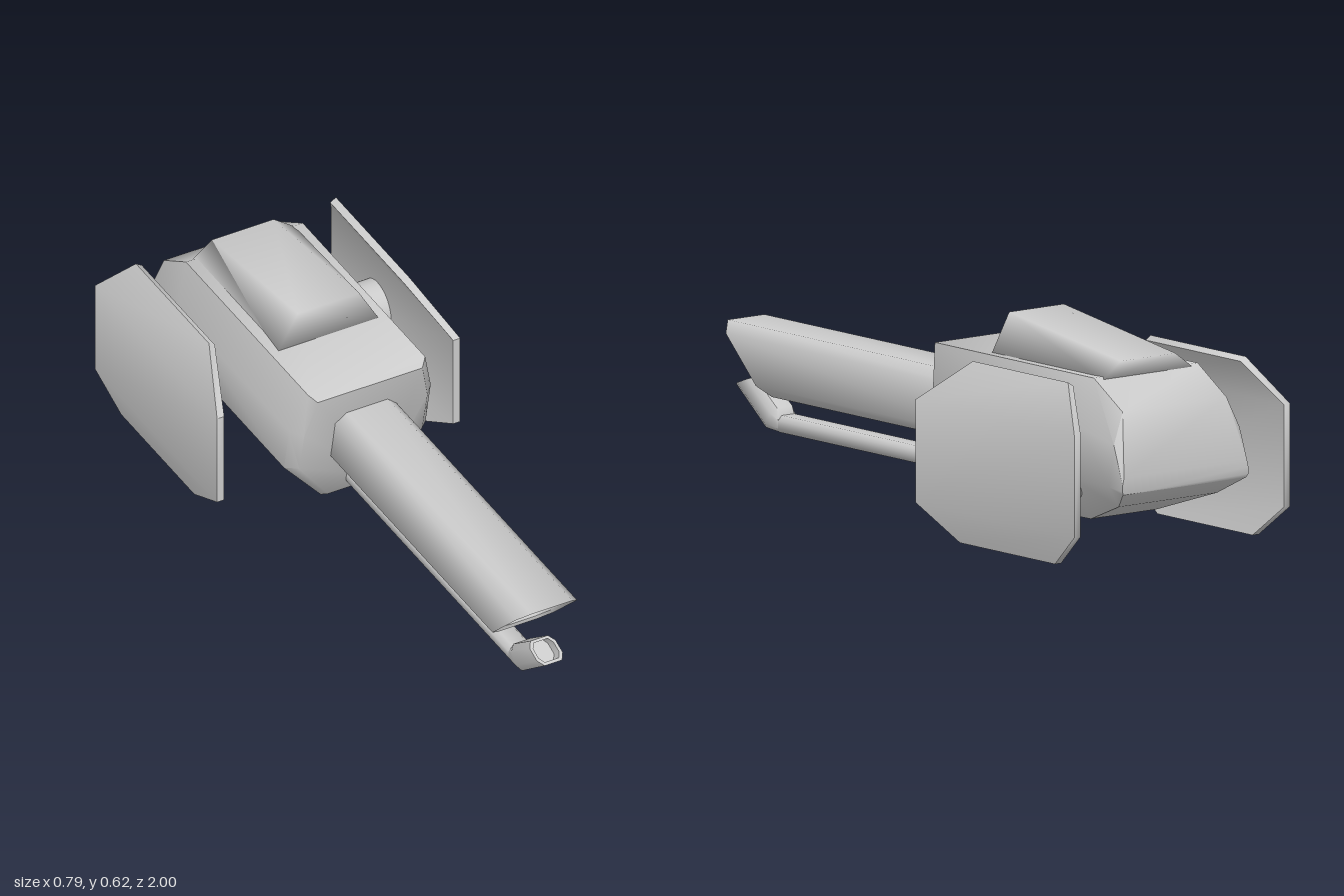
import * as THREE from 'three';
import { toCreasedNormals } from 'three/addons/utils/BufferGeometryUtils.js';

const material = new THREE.MeshStandardMaterial({ color: 0xcccccc });

// Closed skin over rings of points; each ring runs anticlockwise seen from its start side
function loft(rings, crease = 0.85) {
  const n = rings[0].length, last = (rings.length - 1) * n, index = [];
  for (let i = 0; i < rings.length - 1; i++) {
    for (let j = 0; j < n; j++) {
      const a = i * n + j, b = i * n + (j + 1) % n;
      index.push(a, a + n, b, b, a + n, b + n);
    }
  }
  for (let j = 1; j < n - 1; j++) {
    index.push(0, j, j + 1, last, last + j + 1, last + j);
  }
  const geometry = new THREE.BufferGeometry();
  geometry.setAttribute('position', new THREE.Float32BufferAttribute(rings.flat(2), 3));
  geometry.setIndex(index);
  geometry.computeVertexNormals();
  return crease ? toCreasedNormals(geometry, crease) : geometry;
}

// Mirrors a half section (bottom to top, +x side) into a full ring
const sym = (half) => [...half, ...half.map(([x, y, z]) => [-x, y, z]).reverse()];

// Chamfered rectangular ring spanning a bottom and a top point given as [y, z]
function ring(w, bottom, top, chamferX, chamferT) {
  const at = (x, t) => [
    x,
    THREE.MathUtils.lerp(bottom[0], top[0], t),
    THREE.MathUtils.lerp(bottom[1], top[1], t),
  ];
  return sym([at(w - chamferX, 0), at(w, chamferT), at(w, 1 - chamferT), at(w - chamferX, 1)]);
}

export function createModel() {
  const model = new THREE.Group();
  const add = (name, geometry) => {
    const mesh = new THREE.Mesh(geometry, material);
    mesh.name = name;
    model.add(mesh);
    return mesh;
  };

  // Faceted housing with a raked, bevelled front and a tapered tail
  add('body', loft([
    [[0.09, 0.08, -0.165], [0.2, 0.23, -0.135], [0.2, 0.365, -0.105], [0.17, 0.49, -0.08]],
    [[0.1, 0.065, -0.19], [0.23, 0.22, -0.17], [0.23, 0.37, -0.14], [0.19, 0.51, -0.1]],
    [[0.12, 0.08, -0.72], [0.23, 0.22, -0.75], [0.23, 0.37, -0.8], [0.19, 0.51, -0.82]],
    [[0.18, 0.15, -0.92], [0.23, 0.215, -0.94], [0.23, 0.34, -0.96], [0.19, 0.43, -0.95]],
    [[0.225, 0.2, -0.995], [0.23, 0.21, -1], [0.23, 0.23, -1], [0.225, 0.25, -1]],
  ].map(sym)));

  // Raised hood, higher at the front
  add('hood', loft([
    sym([[0.168, 0.5, -0.325], [0.1, 0.62, -0.325]]),
    sym([[0.168, 0.5, -0.83], [0.1, 0.55, -0.83]]),
  ], 0));

  // Hollow barrel with a slanted mouth
  add('barrel', loft([
    ring(0.073, [0.245, 0.6], [0.38, 0.6], 0.025, 0.18),
    ring(0.09, [0.222, 0.79], [0.397, 0.97], 0.03, 0.16),
    ring(0.1, [0.21, 0.79], [0.405, 0.99], 0.033, 0.16),
    ring(0.1, [0.21, -0.2], [0.405, -0.2], 0.033, 0.16),
  ], 0.9));

  // Thin pipe under the barrel, ending in an upturned nozzle
  add('lowerPipe', loft([
    ring(0.036, [0.1, 0.81], [0.15, 0.81], 0.013, 0.27),
    ring(0.036, [0.1, -0.3], [0.15, -0.3], 0.013, 0.27),
  ], 0.9));
  add('nozzle', loft([
    ring(0.03, [0.195, 0.965], [0.222, 0.895], 0.01, 0.25),
    ring(0.033, [0.218, 0.99], [0.243, 0.924], 0.01, 0.25),
    ring(0.042, [0.214, 1], [0.246, 0.915], 0.014, 0.25),
    ring(0.042, [0.107, 0.865], [0.17, 0.815], 0.014, 0.25),
    ring(0.036, [0.1, 0.8], [0.15, 0.8], 0.013, 0.27),
  ], 0.9));

  // Axle through the body carrying the side shields
  const axle = add('axle', new THREE.CylinderGeometry(0.08, 0.08, 0.75, 32));
  axle.rotation.z = Math.PI / 2;
  axle.position.set(0, 0.225, -0.71);

  // Bent octagonal shields: rows of [inner x, inner y, outer x, outer y, front z, back z]
  const rows = [
    [0.306, 0.508, 0.325, 0.52, -0.44, -0.87],
    [0.372, 0.392, 0.395, 0.392, -0.265, -0.985],
    [0.372, 0.095, 0.395, 0.095, -0.265, -0.985],
    [0.35, 0, 0.373, 0, -0.44, -0.87],
  ];
  for (const side of [1, -1]) {
    const rings = rows.map(([xi, yi, xo, yo, front, back]) => {
      const r = [
        [side * xo, yo, front], [side * xo, yo, back],
        [side * xi, yi, back], [side * xi, yi, front],
      ];
      return side > 0 ? r : r.reverse();
    });
    add(side > 0 ? 'leftShield' : 'rightShield', loft(rings, 0.9));
  }

  return model;
}
